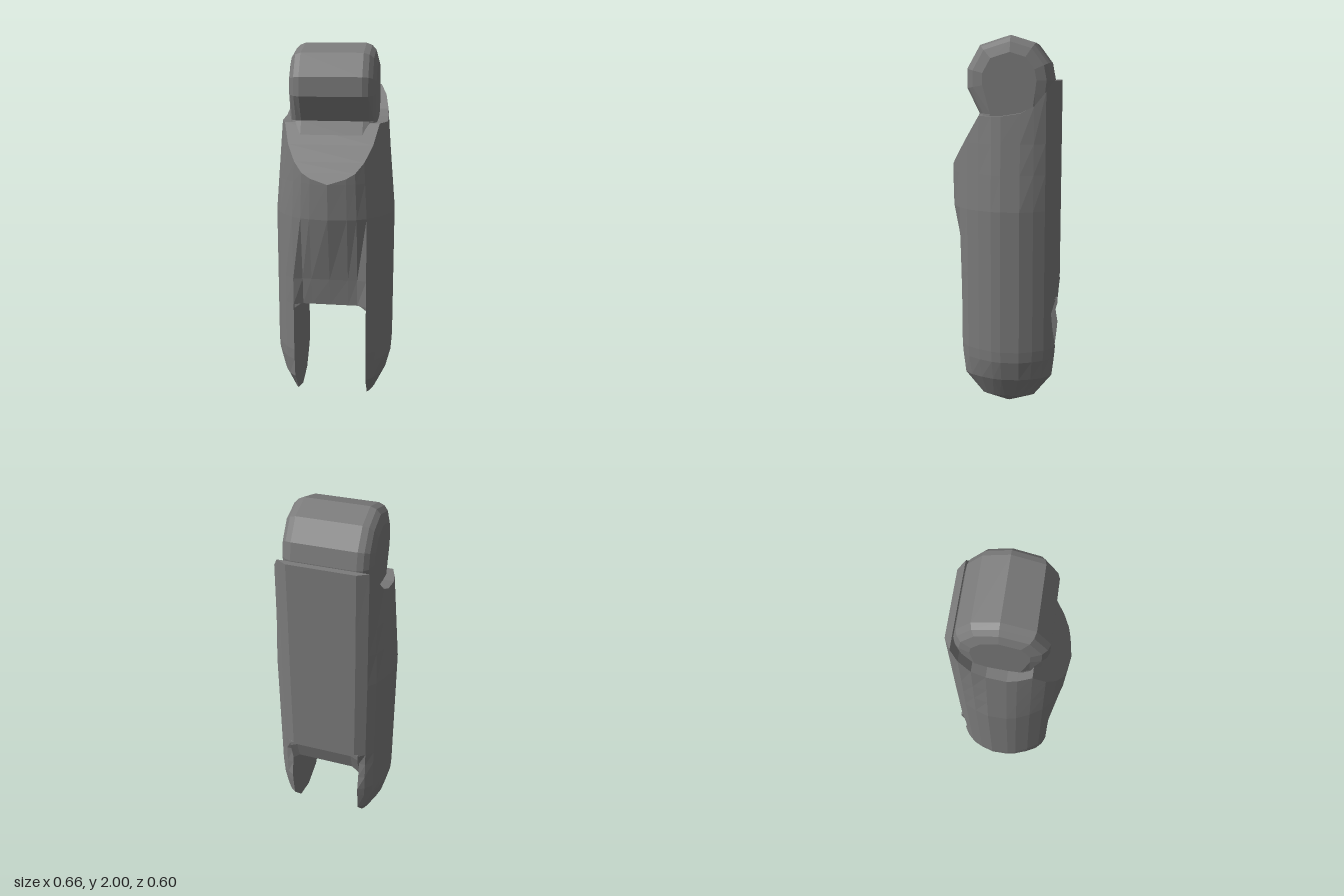
import * as THREE from 'three';

const material = new THREE.MeshStandardMaterial({ color: 0x7b7b7b, flatShading: true });

// Skin a stack of equal-length rings; caps join opposite points of a ring in strips.
function loft(name, rings, capStart = true, capEnd = true) {
  const n = rings[0].length;
  const pos = [];
  const quad = (a, b, c, d) => [a, b, c, a, c, d].forEach((p) => pos.push(...p));
  for (let j = 0; j < rings.length - 1; j++) {
    for (let i = 0; i < n; i++) {
      const k = (i + 1) % n;
      quad(rings[j][i], rings[j][k], rings[j + 1][k], rings[j + 1][i]);
    }
  }
  const cap = (r, flip) => {
    for (let i = 0; i < Math.floor(n / 2); i++) {
      const q = [r[i], r[i + 1], r[Math.max(n - 2 - i, i + 1)], r[n - 1 - i]];
      quad(...(flip ? q.reverse() : q));
    }
  };
  if (capStart) cap(rings[0], true);
  if (capEnd) cap(rings[rings.length - 1], false);
  const geometry = new THREE.BufferGeometry();
  geometry.setAttribute('position', new THREE.Float32BufferAttribute(pos, 3));
  geometry.computeVertexNormals();
  const mesh = new THREE.Mesh(geometry, material);
  mesh.name = name;
  return mesh;
}

// Piecewise linear lookup in a list of [key, value] pairs with rising keys
function lookup(table, k) {
  if (k <= table[0][0]) return table[0][1];
  for (let i = 1; i < table.length; i++) {
    const [k0, v0] = table[i - 1];
    const [k1, v1] = table[i];
    if (k <= k1) return v0 + ((v1 - v0) * (k - k0)) / (k1 - k0);
  }
  return table[table.length - 1][1];
}

const mirror = (ring) => ring.map(([x, y, z]) => [-x, y, z]).reverse();

// Outer half outline of a prong from front to back: x, z
const prongOutline = [
  [0.2, 0.225], [0.25, 0.185], [0.29, 0.12], [0.32, 0.05], [0.33, 0],
  [0.328, -0.1], [0.305, -0.17], [0.275, -0.23], [0.237, -0.268], [0.2, -0.29],
];
// Half outline of the body: x, z at the bulge, z at the lower end
const bodyOutline = [
  [0, 0.3, 0.2], [0.1, 0.283, 0.2], [0.15, 0.267, 0.2], [0.2, 0.235, 0.225],
  ...prongOutline.slice(1, 9).map(([x, z]) => [x, z, z]), [0.18, -0.3, -0.3],
];
// Height of the open rim along z, bulge along y, narrowing along y and along z
const rim = [[-0.268, 1.77], [-0.22, 1.7], [-0.16, 1.63], [-0.06, 1.59], [0.12, 1.59], [0.3, 1.29]];
const bulge = [[0.6, 0], [0.75, 0.2], [1.1, 0.95], [1.29, 1]];
const narrowing = [[1.1, 0], [1.6, 0.13]];
const narrowingShare = [[-0.27, 0.15], [-0.1, 1]];

function createBody() {
  const rings = [0.6, 0.75, 1.1, 1.29, 1.45, 1.77].map((level) => {
    const half = bodyOutline.map(([x, zFull, zLow]) => {
      const z = zLow + (zFull - zLow) * lookup(bulge, level);
      const y = Math.min(level, lookup(rim, z));
      return [x * (1 - lookup(narrowing, y) * lookup(narrowingShare, z)), y, z];
    });
    return [...half, ...mirror(half)];
  });
  return loft('segmentBody', rings, false, true);
}

// Rounded fork prong with a flat inner face: y, outward scale, depth scale, back limit
function createProng(side) {
  const levels = [
    [0, 0, 0.02, -0.3], [0.04, 0.3, 0.55, -0.3], [0.16, 0.75, 0.93, -0.3],
    [0.27, 0.97, 0.98, -0.3], [0.33, 1, 1, -0.3], [0.42, 1, 1, -0.275],
    [0.52, 1, 1, -0.265], [0.6, 1, 1, -0.3],
  ];
  const rings = levels.map(([y, outward, depth, back]) => {
    const ring = prongOutline.map(([x, z]) => [
      0.2 + (x - 0.2) * outward, y, Math.max(back, -0.035 + (z + 0.035) * depth),
    ]);
    return side > 0 ? ring : mirror(ring);
  });
  return loft(side > 0 ? 'leftProng' : 'rightProng', rings);
}

// Hollowed ceiling of the slot with a lower lip at the back
function createSlotCeiling() {
  const section = (x, [front, mid, inner, lip, back]) => [
    [x, 0.61, 0.2], [x, front, 0.2], [x, mid, 0], [x, inner, -0.18],
    [x, lip, -0.265], [x, back, -0.3], [x, 0.61, -0.3],
  ];
  const side = [0.57, 0.56, 0.5, 0.45, 0.58];
  const middle = [0.6, 0.6, 0.53, 0.485, 0.6];
  return loft('slotCeiling', [
    section(-0.2, side), section(-0.16, middle), section(0.16, middle), section(0.2, side),
  ]);
}

// Knuckle with rounded ends and a neck sinking into the body
function createKnuckle() {
  const profile = [
    [-0.2, 1.5], [-0.25, 1.67], [-0.262, 1.77], [-0.245, 1.86], [-0.17, 1.96], [-0.04, 2],
    [0.12, 1.95], [0.188, 1.83], [0.188, 1.73], [0.125, 1.6], [0.165, 1.51],
  ];
  const ends = [[0.165, 1], [0.195, 0.95], [0.217, 0.85], [0.232, 0.62]];
  const sections = [...ends.map(([x, s]) => [-x, s]).reverse(), ...ends];
  const rings = sections.map(([x, s]) => profile.map(([z, y]) => [
    x, y > 1.65 ? 1.77 + (y - 1.77) * s : y, -0.04 + (z + 0.04) * s,
  ]));
  return loft('knuckle', rings);
}

export function createModel() {
  const model = new THREE.Group();
  model.name = 'fingerSegment';
  model.add(createBody(), createProng(1), createProng(-1), createSlotCeiling(), createKnuckle());
  return model;
}
